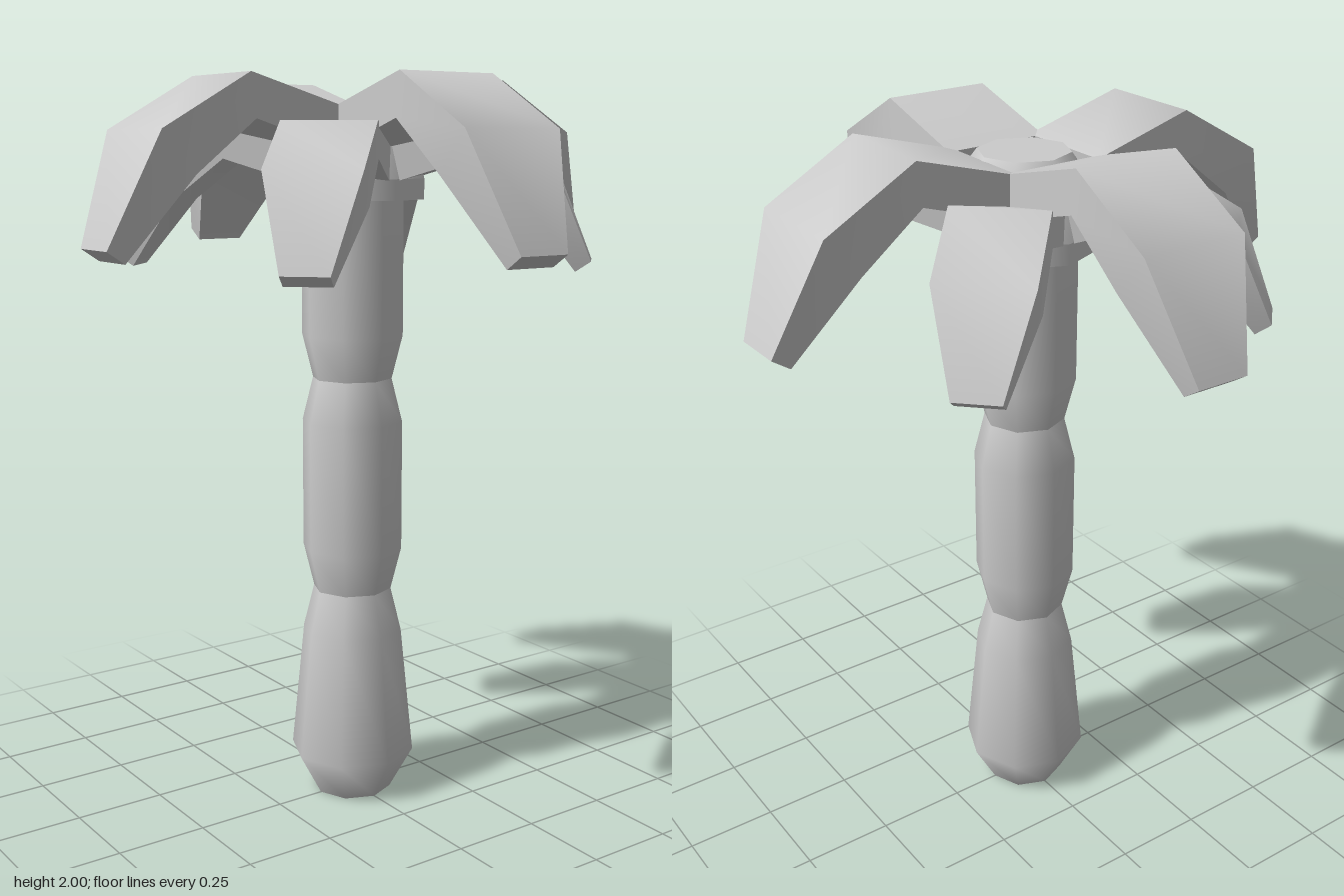
import * as THREE from 'three';
import { toCreasedNormals } from 'three/addons/utils/BufferGeometryUtils.js';

const material = new THREE.MeshStandardMaterial({ color: 0xcccccc });
const SIDES = 8;

function addMesh(parent, geometry, name) {
  const mesh = new THREE.Mesh(geometry, material);
  mesh.name = name;
  parent.add(mesh);
  return mesh;
}

// Eight-sided turned part from [radius, height] pairs, listed bottom to top
function turned(profile) {
  return new THREE.LatheGeometry(profile.map(([r, y]) => new THREE.Vector2(r, y)), SIDES);
}

// Flat eight-sided end, facing up or down
function endDisc(radius, y, up) {
  return new THREE.CircleGeometry(radius, SIDES)
    .rotateX(up ? -Math.PI / 2 : Math.PI / 2)
    .translate(0, y, 0);
}

// Drooping frond along +x, lofted through rectangular cross-sections
function frondGeometry() {
  // top x, top y, underside x, underside y, half width
  const sections = [
    [0.12, 1.92, 0.13, 1.81, 0.145],
    [0.40, 2.00, 0.386, 1.889, 0.145],
    [0.645, 1.863, 0.555, 1.757, 0.145],
    [0.762, 1.577, 0.714, 1.545, 0.072],
  ];
  const rings = sections.map(([tx, ty, bx, by, w]) => [
    [tx, ty, w], [tx, ty, -w], [bx, by, -w], [bx, by, w],
  ]);
  const positions = [];
  const quad = (a, b, c, d) => positions.push(...a, ...b, ...c, ...a, ...c, ...d);
  for (let i = 0; i < rings.length - 1; i++) {
    for (let j = 0; j < 4; j++) {
      const k = (j + 1) % 4;
      quad(rings[i][j], rings[i + 1][j], rings[i + 1][k], rings[i][k]);
    }
  }
  quad(...rings[0]);
  quad(...[...rings[rings.length - 1]].reverse());
  const geometry = new THREE.BufferGeometry();
  geometry.setAttribute('position', new THREE.Float32BufferAttribute(positions, 3));
  return toCreasedNormals(geometry, 0.95);
}

export function createModel() {
  const model = new THREE.Group();
  model.name = 'palmTree';

  // Trunk: three bulging segments that meet at narrow waists
  const trunk = new THREE.Group();
  trunk.name = 'trunk';
  model.add(trunk);
  const segments = [
    [[0.11, 0], [0.176, 0.12], [0.14, 0.48], [0.11, 0.6]],
    [[0.11, 0.6], [0.14, 0.72], [0.14, 1.08], [0.11, 1.2]],
    [[0.11, 1.2], [0.14, 1.32], [0.14, 1.7]],
  ];
  segments.forEach((profile, i) => addMesh(trunk, turned(profile), `trunkSegment${i + 1}`));
  addMesh(trunk, endDisc(0.11, 0, false), 'trunkBase');

  // Crown: collar and domed hub that hold the fronds
  const crown = new THREE.Group();
  crown.name = 'crown';
  model.add(crown);
  addMesh(crown, endDisc(0.195, 1.685, false), 'collarUnderside');
  addMesh(crown, turned([[0.195, 1.685], [0.195, 1.74]]), 'collar');
  addMesh(crown, turned([[0.195, 1.74], [0.165, 1.87], [0.12, 1.93]]), 'hub');
  addMesh(crown, endDisc(0.12, 1.93, true), 'hubTop');

  // Fronds: four large ones on the axes, four smaller and lower ones between
  const frond = frondGeometry();
  const smallScale = 0.84;
  for (let i = 0; i < 8; i++) {
    const small = i % 2 === 1;
    const mesh = addMesh(model, frond, small ? 'smallFrond' : 'largeFrond');
    mesh.rotation.y = (i * Math.PI) / 4;
    if (small) {
      mesh.scale.setScalar(smallScale);
      mesh.position.y = 0.205;
    }
  }
  return model;
}
